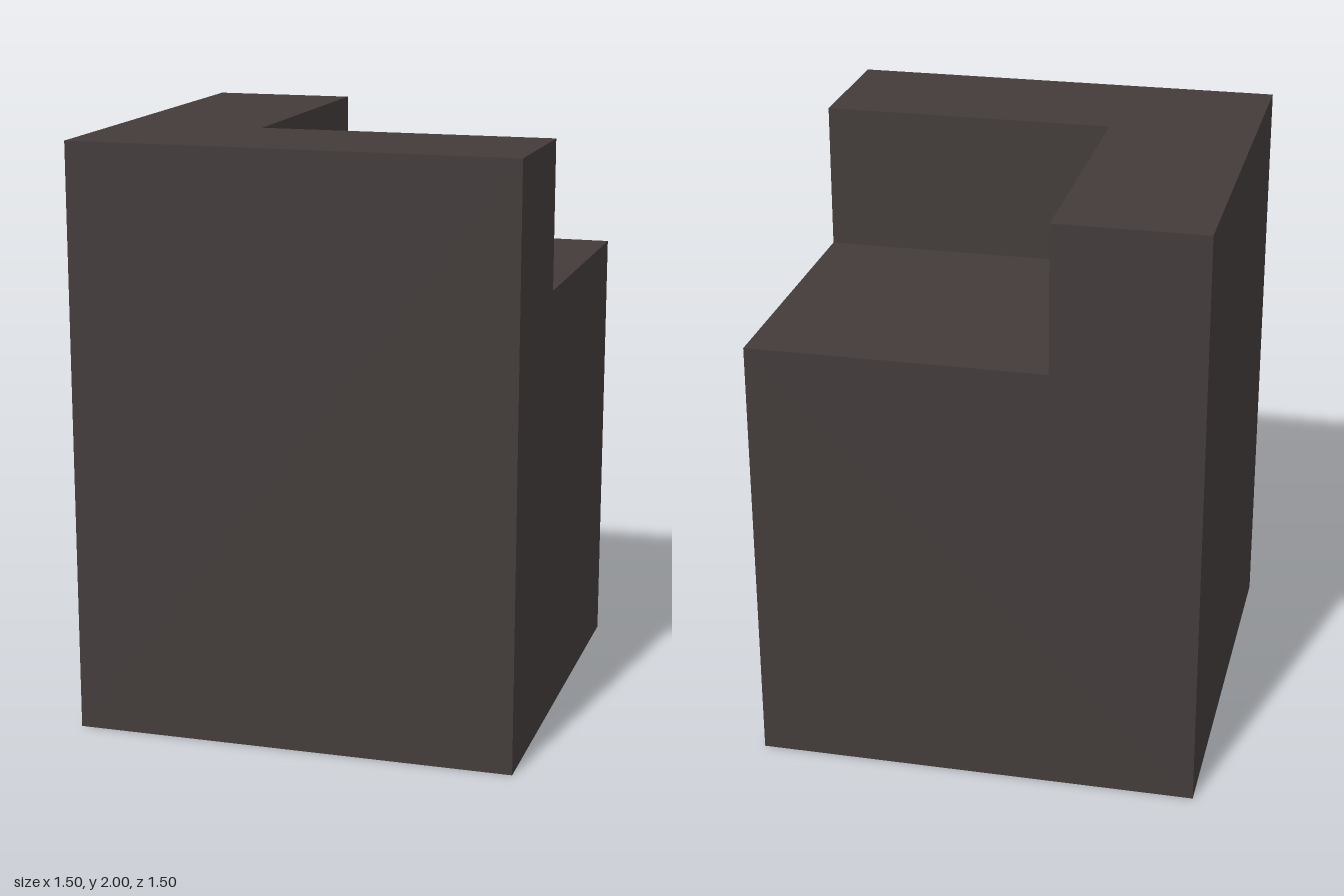
import * as THREE from 'three';
import { mergeGeometries } from 'three/addons/utils/BufferGeometryUtils.js';

// Extents in a z-up frame: low corner, notch corner, high corner
const LOW = [-0.75, -0.75, 0];
const NOTCH = [-0.25, -0.25, 1.5];
const HIGH = [0.75, 0.75, 2];
const AXES = [[1, 0, 0], [0, 1, 0], [0, 0, 1]].map(v => new THREE.Vector3(...v));

// Flat polygon placed in the plane spanned by two axes
function face(points, u, v, normal, offset) {
  const shape = new THREE.Shape(points.map(p => new THREE.Vector2(...p)));
  const matrix = new THREE.Matrix4().makeBasis(u, v, normal);
  matrix.setPosition(normal.clone().multiplyScalar(offset));
  return new THREE.ShapeGeometry(shape).applyMatrix4(matrix);
}

const rect = (x0, y0, x1, y1) => [[x0, y0], [x1, y0], [x1, y1], [x0, y1]];

// Block with one upper corner cut out, as a single closed surface
function notchedBlock() {
  const faces = [];
  for (let a = 0; a < 3; a++) {
    const b = (a + 1) % 3, c = (a + 2) % 3;
    const [A, B, C] = [AXES[a], AXES[b], AXES[c]];
    // Whole side
    faces.push(face(rect(LOW[c], LOW[b], HIGH[c], HIGH[b]), C, B, A.clone().negate(), -LOW[a]));
    // L-shaped side around the notch
    faces.push(face([
      [LOW[b], LOW[c]], [HIGH[b], LOW[c]], [HIGH[b], NOTCH[c]],
      [NOTCH[b], NOTCH[c]], [NOTCH[b], HIGH[c]], [LOW[b], HIGH[c]],
    ], B, C, A, HIGH[a]));
    // Inner wall or floor of the notch
    faces.push(face(rect(NOTCH[b], NOTCH[c], HIGH[b], HIGH[c]), B, C, A, NOTCH[a]));
  }
  return mergeGeometries(faces).rotateX(-Math.PI / 2);
}

export function createModel() {
  const group = new THREE.Group();
  group.name = 'notchedBlockModel';
  const charcoal = new THREE.MeshStandardMaterial({ color: 0x423b3a });
  charcoal.name = 'charcoal';
  const block = new THREE.Mesh(notchedBlock(), charcoal);
  block.name = 'notchedBlock';
  group.add(block);
  return group;
}
